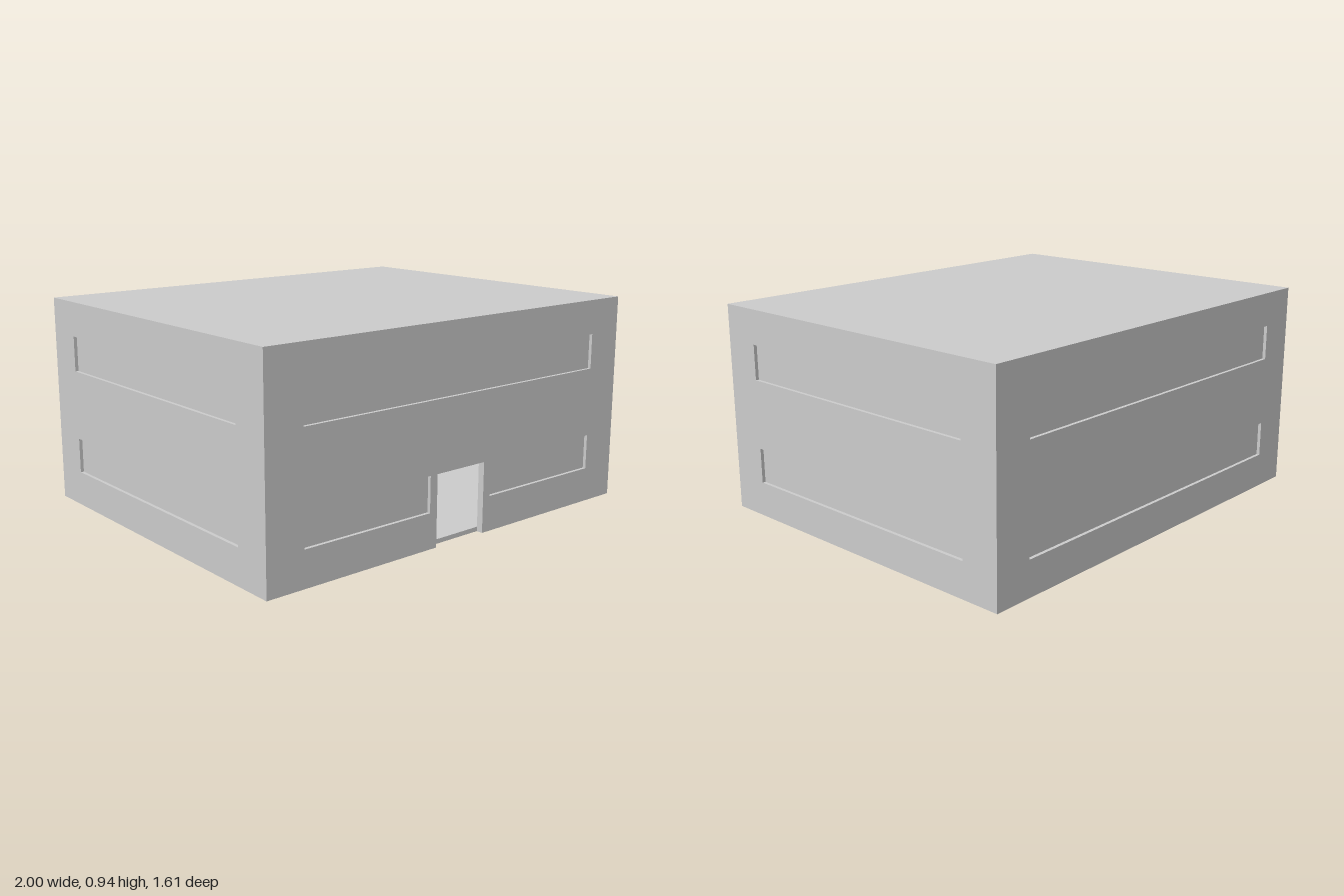
import * as THREE from 'three';

const W = 2, D = 1.608, H = 0.94;      // overall size
const WALL = 0.03, SLAB = 0.02;        // thicknesses
const STOREY = 0.47, SILL = 0.157, HEAD = 0.315;
const DOOR = 0.137;                    // half width of the doorway
const GLASS_INSET = 0.015;

const material = new THREE.MeshStandardMaterial({ color: 0xcccccc });

function box(name, w, h, d, x, y, z) {
  const mesh = new THREE.Mesh(new THREE.BoxGeometry(w, h, d), material);
  mesh.name = name;
  mesh.position.set(x, y, z);
  return mesh;
}

// One outer wall with window bands; its outside lies on local z = 0, facing +z.
function makeWall(name, width, windows, hasDoor) {
  const group = new THREE.Group();
  group.name = name;
  const h = width / 2;
  const outline = [[-h, 0]];
  if (hasDoor) outline.push([-DOOR, 0], [-DOOR, HEAD], [DOOR, HEAD], [DOOR, 0]);
  outline.push([h, 0], [h, H], [-h, H]);
  const shape = new THREE.Shape(outline.map(([x, y]) => new THREE.Vector2(x, y)));

  for (const [x0, x1, floor] of windows) {
    const y0 = floor * STOREY + SILL, y1 = floor * STOREY + HEAD;
    shape.holes.push(new THREE.Path([
      new THREE.Vector2(x0, y0), new THREE.Vector2(x0, y1),
      new THREE.Vector2(x1, y1), new THREE.Vector2(x1, y0),
    ]));
    // pane set back inside the opening
    const depth = WALL - GLASS_INSET;
    group.add(box('windowPane', x1 - x0, y1 - y0, depth,
      (x0 + x1) / 2, (y0 + y1) / 2, -GLASS_INSET - depth / 2));
  }

  const geometry = new THREE.ExtrudeGeometry(shape, { depth: WALL, bevelEnabled: false });
  geometry.translate(0, 0, -WALL);
  const panel = new THREE.Mesh(geometry, material);
  panel.name = 'wallPanel';
  group.add(panel);
  return group;
}

export function createModel() {
  const building = new THREE.Group();
  building.name = 'building';

  // front wall: lower band is split by the doorway
  const front = makeWall('frontWall', W,
    [[-0.824, -0.176, 0], [0.176, 0.824, 0], [-0.824, 0.824, 1]], true);
  front.position.z = D / 2;

  const back = makeWall('backWall', W, [[-0.824, 0.824, 0], [-0.824, 0.824, 1]], false);
  back.rotation.y = Math.PI;
  back.position.z = -D / 2;
  building.add(front, back);

  // side walls fit between front and back
  for (const side of [1, -1]) {
    const wall = makeWall(side > 0 ? 'leftWall' : 'rightWall', D - 2 * WALL,
      [[-0.627, 0.627, 0], [-0.627, 0.627, 1]], false);
    wall.rotation.y = side * Math.PI / 2;
    wall.position.x = side * W / 2;
    building.add(wall);
  }

  // ground floor, upper floor and flat roof
  const w = W - 2 * WALL, d = D - 2 * WALL;
  building.add(
    box('groundFloor', w, SLAB, d, 0, SLAB / 2, 0),
    box('upperFloor', w, SLAB, d, 0, STOREY + SLAB / 2, 0),
    box('roof', w, SLAB, d, 0, H - SLAB / 2, 0),
  );
  return building;
}
